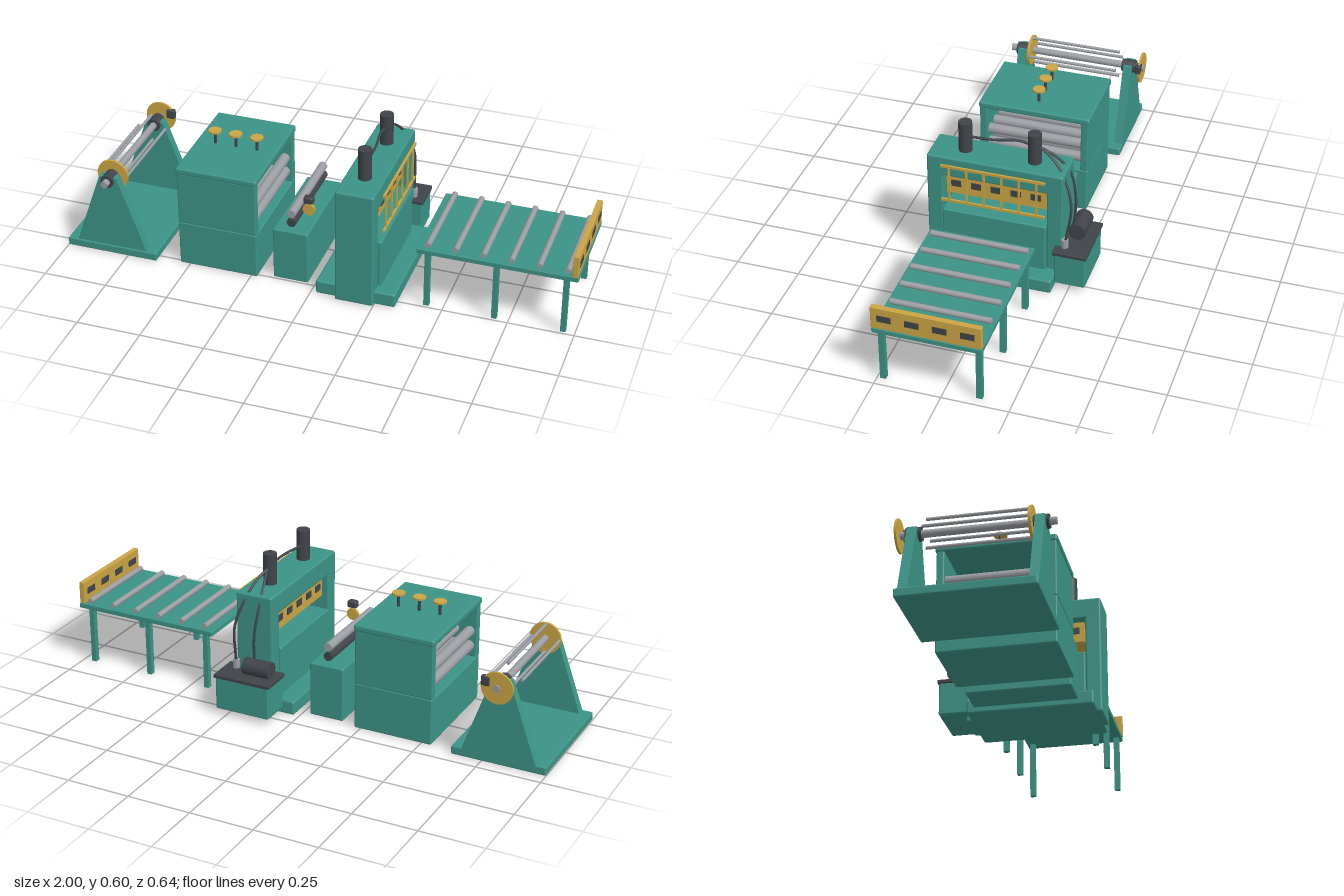
import * as THREE from 'three';
import { RoundedBoxGeometry } from 'three/addons/geometries/RoundedBoxGeometry.js';

export function createModel() {
  const mat = (name, color) => {
    const m = new THREE.MeshStandardMaterial({ color });
    m.name = name;
    return m;
  };
  const teal = mat('machine teal', 0x3c9386);
  const gold = mat('safety yellow', 0xcaa544);
  const dark = mat('charcoal', 0x404449);
  const steel = mat('steel grey', 0x9a9da2);

  const model = new THREE.Group();
  model.name = 'coilProcessingLine';
  const station = (name) => {
    const g = new THREE.Group();
    g.name = name;
    model.add(g);
    return g;
  };
  const add = (g, name, geo, m, x = 0, y = 0, z = 0) => {
    const mesh = new THREE.Mesh(geo, m);
    mesh.name = name;
    mesh.position.set(x, y, z);
    g.add(mesh);
    return mesh;
  };
  // Box from its min and max on each axis, with optional rounded edges
  const box = (g, name, m, [x0, x1], [y0, y1], [z0, z1], r = 0) => {
    const s = [x1 - x0, y1 - y0, z1 - z0];
    const geo = r ? new RoundedBoxGeometry(...s, 2, r) : new THREE.BoxGeometry(...s);
    return add(g, name, geo, m, (x0 + x1) / 2, (y0 + y1) / 2, (z0 + z1) / 2);
  };
  // Round bar along the named axis
  const rod = (g, name, m, axis, r, len, x, y, z, sides = 20) => {
    const geo = new THREE.CylinderGeometry(r, r, len, sides);
    if (axis === 'z') geo.rotateX(Math.PI / 2);
    if (axis === 'x') geo.rotateZ(Math.PI / 2);
    return add(g, name, geo, m, x, y, z);
  };

  // Uncoiler: base, two tapered stands, mandrel and handwheel
  const un = station('uncoiler');
  const ux = -0.815, uy = 0.326;
  box(un, 'uncoilerBase', teal, [-1, -0.63], [0, 0.034], [-0.2, 0.29], 0.006);
  const stand = new THREE.Shape([[-0.145, 0.03], [0.145, 0.03], [0.035, 0.34], [-0.035, 0.34]]
    .map(([x, y]) => new THREE.Vector2(x, y)));
  for (const z of [-0.2, 0.25]) {
    add(un, 'sideStand', new THREE.ExtrudeGeometry(stand, { depth: 0.035, bevelEnabled: false }), teal, ux, 0, z);
    rod(un, 'bearing', dark, 'z', 0.026, 0.056, ux, uy, z + 0.0175);
  }
  rod(un, 'mandrelShaft', steel, 'z', 0.014, 0.565, ux, uy, 0.0375);
  rod(un, 'coilFlange', gold, 'z', 0.062, 0.01, ux, uy, 0.235, 28);
  for (let i = 0; i < 4; i++) {
    const a = i * Math.PI / 2;
    rod(un, 'mandrelBar', steel, 'z', 0.006, 0.37, ux + 0.056 * Math.cos(a), uy + 0.056 * Math.sin(a), 0.045, 10);
  }
  rod(un, 'handwheel', gold, 'z', 0.062, 0.008, ux, uy, -0.235, 28);
  box(un, 'handwheelGrip', dark, [-0.787, -0.753], [0.327, 0.365], [-0.243, -0.221], 0.005);

  // Leveler: closed base, open roller housing, lid with adjusters
  const le = station('leveler');
  box(le, 'levelerBase', teal, [-0.54, -0.225], [0, 0.185], [-0.175, 0.265], 0.006);
  for (const z of [-0.175, 0.235])
    box(le, 'housingPlate', teal, [-0.54, -0.225], [0.183, 0.402], [z, z + 0.03], 0.006);
  box(le, 'levelerLid', teal, [-0.544, -0.221], [0.398, 0.425], [-0.18, 0.268], 0.008);
  for (let i = 0; i < 5; i++)
    for (const y of [0.23, 0.29])
      rod(le, 'levelingRoller', steel, 'z', 0.02, 0.42, -0.51 + i * 0.0635, y, 0.045);
  for (const x of [-0.467, -0.383, -0.298]) {
    rod(le, 'adjusterStem', dark, 'y', 0.006, 0.055, x, 0.449, 0.045, 12);
    rod(le, 'adjusterWheel', gold, 'y', 0.025, 0.007, x, 0.478, 0.045, 24);
  }

  // Feeder: cabinet, pair of feed rolls and a handwheel
  const fe = station('feeder');
  box(fe, 'feederCabinet', teal, [-0.167, -0.028], [0, 0.217], [-0.155, 0.243], 0.006);
  rod(fe, 'upperFeedRoll', steel, 'z', 0.017, 0.37, -0.097, 0.288, 0.045);
  rod(fe, 'lowerFeedRoll', dark, 'z', 0.018, 0.37, -0.097, 0.25, 0.045);
  rod(fe, 'feedHandwheel', gold, 'z', 0.024, 0.01, -0.045, 0.288, 0.175, 24);
  box(fe, 'feedHandwheelGrip', dark, [-0.064, -0.026], [0.317, 0.345], [0.16, 0.19], 0.007);

  // Press: base, portal frame, bed and slide
  const pr = station('press');
  box(pr, 'pressBase', teal, [0.02, 0.33], [0, 0.056], [-0.195, 0.293], 0.008);
  for (const z of [-0.215, 0.25])
    box(pr, 'column', teal, [0.1, 0.25], [0, 0.46], [z, z + 0.062], 0.008);
  box(pr, 'crown', teal, [0.1, 0.25], [0.392, 0.475], [-0.215, 0.312], 0.008);
  box(pr, 'bed', teal, [0.095, 0.263], [0.05, 0.25], [-0.153, 0.25], 0.006);
  box(pr, 'slide', gold, [0.125, 0.225], [0.305, 0.387], [-0.147, 0.243]);
  for (let i = 0; i < 5; i++) {
    const z = 0.205 - i * 0.0775;
    for (const x of [0.124, 0.226])
      box(pr, 'slideMark', dark, [x - 0.003, x + 0.003], [0.338, 0.364], [z - 0.019, z + 0.019]);
  }

  // Guard rail on the outfeed side
  for (const y of [0.3, 0.45])
    box(pr, 'guardRail', gold, [0.265, 0.273], [y - 0.005, y + 0.005], [-0.153, 0.25]);
  for (let i = 0; i < 6; i++) {
    const z = 0.218 - i * 0.0677;
    box(pr, 'guardBar', gold, [0.266, 0.272], [0.3, 0.45], [z - 0.004, z + 0.004]);
  }

  // Hydraulics: cylinders, tank, pump motor and hoses
  for (const z of [0.183, -0.085])
    rod(pr, 'hydraulicCylinder', dark, 'y', 0.026, 0.124, 0.175, 0.536, z, 24);
  const hy = station('hydraulicUnit');
  box(hy, 'oilTank', teal, [0.065, 0.29], [0.024, 0.155], [-0.315, -0.195], 0.006);
  box(hy, 'tankLid', dark, [0.06, 0.295], [0.153, 0.168], [-0.32, -0.188], 0.003);
  rod(hy, 'pumpMotor', dark, 'x', 0.033, 0.11, 0.137, 0.2, -0.255, 16);
  rod(hy, 'hoseFitting', steel, 'y', 0.014, 0.034, 0.248, 0.185, -0.225);
  rod(hy, 'levelGauge', steel, 'z', 0.013, 0.012, 0.178, 0.122, -0.191);
  box(hy, 'drainPlug', dark, [0.174, 0.182], [0.005, 0.013], [-0.259, -0.251]);
  const hose = (pts) => {
    const curve = new THREE.CatmullRomCurve3(pts.map((p) => new THREE.Vector3(...p)));
    add(hy, 'hose', new THREE.TubeGeometry(curve, 32, 0.005, 8), dark);
  };
  hose([[0.175, 0.535, 0.16], [0.18, 0.543, 0.07], [0.172, 0.553, -0.02], [0.175, 0.548, -0.065]]);
  hose([[0.175, 0.54, -0.11], [0.19, 0.515, -0.155], [0.21, 0.46, -0.205], [0.24, 0.35, -0.245], [0.248, 0.2, -0.228]]);
  hose([[0.175, 0.54, -0.11], [0.16, 0.505, -0.16], [0.15, 0.44, -0.215], [0.16, 0.33, -0.24], [0.165, 0.21, -0.235]]);

  // Outfeed table: top, legs, rollers and end stop
  const ta = station('outfeedTable');
  box(ta, 'tableTop', teal, [0.395, 1], [0.232, 0.252], [-0.155, 0.248], 0.003);
  for (const x of [0.435, 0.695, 0.955])
    for (const z of [-0.13, 0.228])
      box(ta, 'tableLeg', teal, [x - 0.01, x + 0.01], [0, 0.234], [z - 0.011, z + 0.011]);
  for (let i = 0; i < 6; i++)
    rod(ta, 'tableRoller', steel, 'z', 0.011, 0.374, 0.435 + i * 0.1044, 0.263, 0.045, 16);
  box(ta, 'endStop', gold, [0.977, 0.998], [0.252, 0.341], [-0.153, 0.25], 0.002);
  for (const z of [0.2, 0.099, -0.002, -0.103])
    for (const x of [0.977, 0.998])
      box(ta, 'endStopMark', dark, [x - 0.002, x + 0.002], [0.285, 0.311], [z - 0.026, z + 0.026]);

  return model;
}
